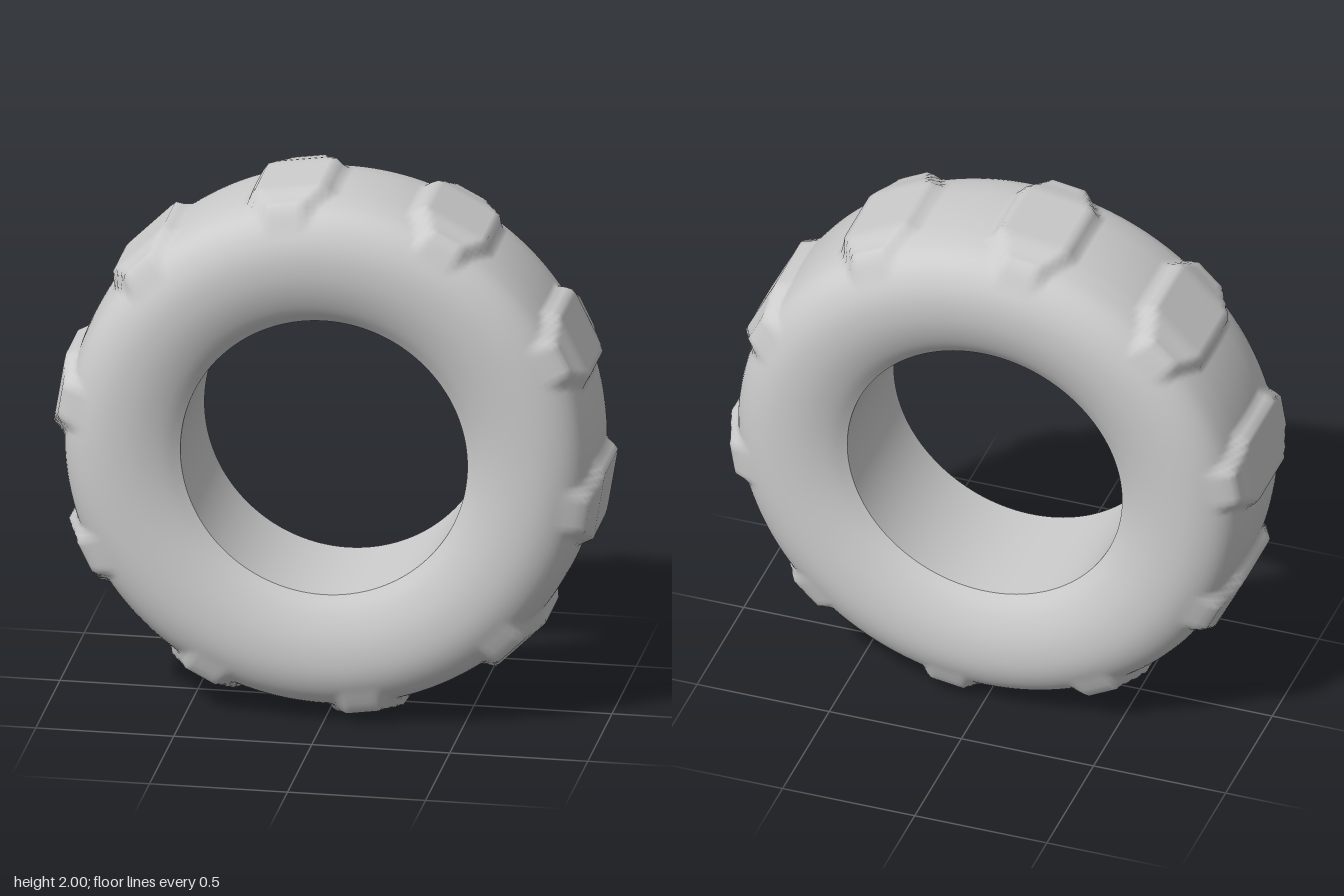
import * as THREE from 'three';

const CENTER_Y = 1, BORE = 0.52, RIM_Z = 0.25;
const LUGS = 10, LUG_START = THREE.MathUtils.degToRad(26.5);
const STEP = (Math.PI * 2) / LUGS;

// Half cross-section (radius, z) from the rim over the sidewall to the tread centre
const half = [
  [0.52, 0.25], [0.57, 0.286], [0.64, 0.316], [0.71, 0.331], [0.79, 0.331],
  [0.85, 0.315], [0.9, 0.285], [0.935, 0.24], [0.955, 0.16], [0.962, 0.08],
];

function tyreProfile() {
  const front = half.map(([r, z]) => new THREE.Vector3(r, z, 0));
  const back = half.map(([r, z]) => new THREE.Vector3(r, -z, 0)).reverse();
  const curve = new THREE.CatmullRomCurve3([...front, new THREE.Vector3(0.964, 0, 0), ...back]);
  return curve.getSpacedPoints(72);
}

// Raise the tread to a flat eight-sided pad around each lug centre
function lugRadius(r, z, angle) {
  if (r < 0.84) return r;
  const a = angle - LUG_START;
  const da = a - Math.round(a / STEP) * STEP;
  const u = Math.abs(da) / 0.13, v = Math.abs(z) / 0.245;
  const f = Math.max(u, v, (u + v) / 1.5);
  const w = 1 - THREE.MathUtils.smoothstep(f, 1, 1.25);
  const drop = 0.022 * THREE.MathUtils.smoothstep(Math.abs(z), 0.13, 0.25);
  const top = (0.992 - drop) / Math.cos(da);
  return r + w * Math.max(0, top - r);
}

function tyreGeometry() {
  const profile = tyreProfile(), n = profile.length, segments = 300;
  const positions = [], index = [];
  for (let i = 0; i < segments; i++) {
    const angle = (i / segments) * Math.PI * 2;
    for (const p of profile) {
      const r = lugRadius(p.x, p.y, angle);
      positions.push(r * Math.cos(angle), r * Math.sin(angle), p.y);
    }
  }
  for (let i = 0; i < segments; i++) {
    const next = (i + 1) % segments;
    for (let j = 0; j < n - 1; j++) {
      const a = i * n + j, b = next * n + j;
      index.push(a, a + 1, b, b, a + 1, b + 1);
    }
  }
  const geometry = new THREE.BufferGeometry();
  geometry.setAttribute('position', new THREE.Float32BufferAttribute(positions, 3));
  geometry.setIndex(index);
  geometry.computeVertexNormals();
  return geometry;
}

export function createModel() {
  const group = new THREE.Group();
  group.name = 'tyre';
  const material = new THREE.MeshStandardMaterial({ color: 0xcccccc, side: THREE.DoubleSide });

  // Sidewalls and lugged tread
  const body = new THREE.Mesh(tyreGeometry(), material);
  body.name = 'sidewallsAndTread';
  body.position.y = CENTER_Y;
  group.add(body);

  // Straight bore through the middle, facing the axle
  const boreGeometry = new THREE.CylinderGeometry(BORE, BORE, RIM_Z * 2, 300, 1, true);
  boreGeometry.rotateX(Math.PI / 2);
  const bore = new THREE.Mesh(boreGeometry, material);
  bore.name = 'bore';
  bore.position.y = CENTER_Y;
  group.add(bore);

  return group;
}
